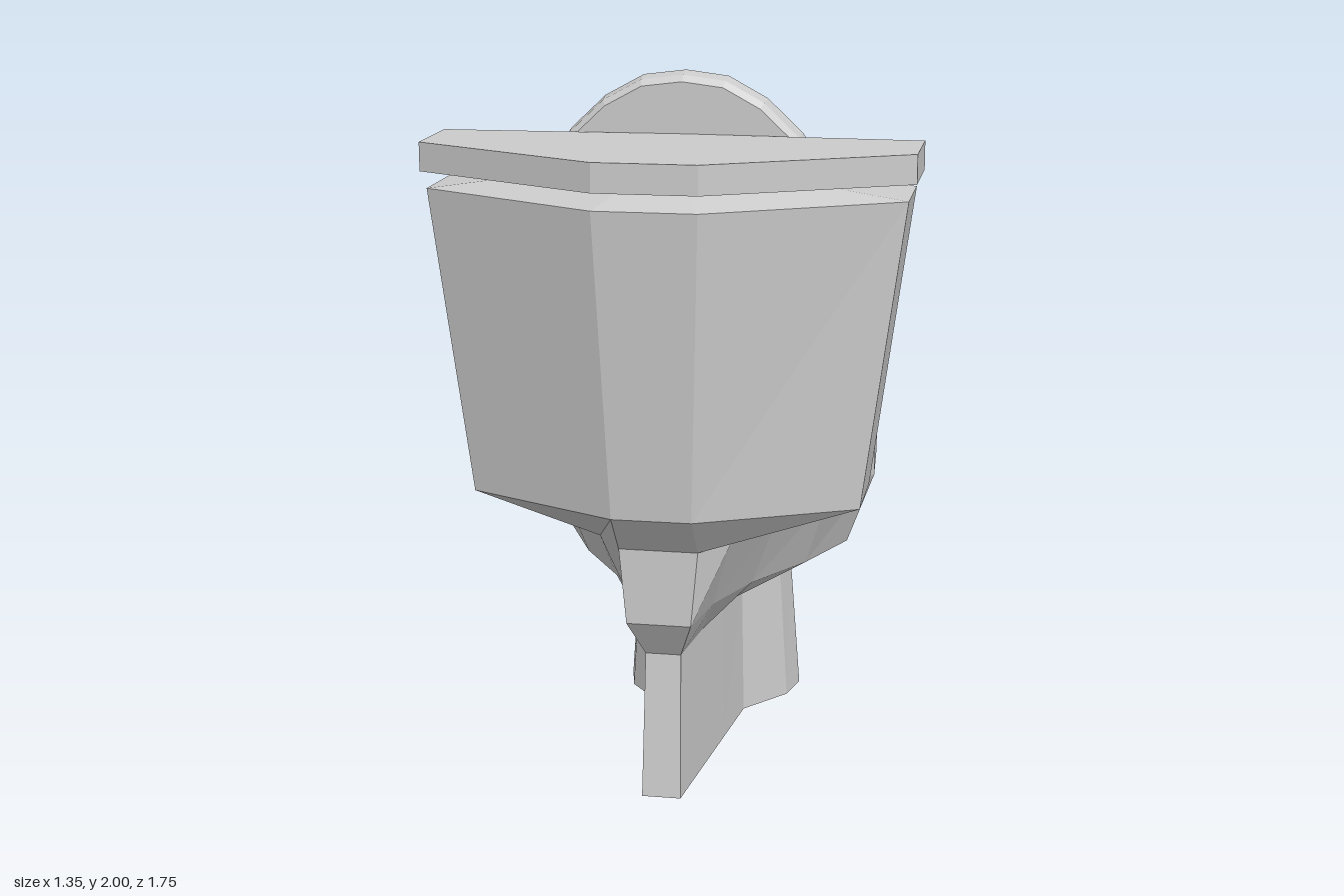
import * as THREE from 'three';
import { mergeGeometries } from 'three/addons/utils/BufferGeometryUtils.js';

const grey = new THREE.MeshStandardMaterial({ color: 0xcccccc, flatShading: true });
const maroon = new THREE.MeshStandardMaterial({ color: 0x56303f, flatShading: true });

// Full outline from the +x half, listed from the centre line at -z to the back at +z
function mirror(half) {
  const other = half.filter(([x]) => x > 0).reverse().map(([x, z]) => [-x, z]);
  return [...half, ...other];
}

const scaleRing = (half, s, cz) => half.map(([x, z]) => [x * s, cz + (z - cz) * s]);

// Flat horizontal polygon, facing up or down, with an optional hole
function cap(half, y, up, hole) {
  const s = up ? -1 : 1;
  const points = (h) => mirror(h).map(([x, z]) => new THREE.Vector2(x, s * z));
  const shape = new THREE.Shape(points(half));
  if (hole) shape.holes.push(new THREE.Path(points(hole)));
  const g = new THREE.ShapeGeometry(shape).rotateX(s * Math.PI / 2).translate(0, y, 0).toNonIndexed();
  g.deleteAttribute('uv');
  return g;
}

// Walls between stacked outlines: rings = [[y, half], ...]
function walls(rings) {
  const pos = [];
  for (let r = 0; r < rings.length - 1; r++) {
    const [y0, h0] = rings[r], [y1, h1] = rings[r + 1];
    const lo = mirror(h0), hi = mirror(h1), n = lo.length;
    for (let i = 0; i < n; i++) {
      const j = (i + 1) % n;
      const a = [lo[i][0], y0, lo[i][1]], b = [lo[j][0], y0, lo[j][1]];
      const c = [hi[i][0], y1, hi[i][1]], d = [hi[j][0], y1, hi[j][1]];
      pos.push(...a, ...c, ...b, ...b, ...c, ...d);
    }
  }
  const g = new THREE.BufferGeometry();
  g.setAttribute('position', new THREE.Float32BufferAttribute(pos, 3));
  g.computeVertexNormals();
  return g;
}

function solid(rings) {
  const first = rings[0], last = rings[rings.length - 1];
  return mergeGeometries([walls(rings), cap(first[1], first[0], false), cap(last[1], last[0], true)]);
}

export function createModel() {
  const model = new THREE.Group();
  model.name = 'toilet';
  const add = (name, geometry, material = grey) => {
    const mesh = new THREE.Mesh(geometry, material);
    mesh.name = name;
    model.add(mesh);
    return mesh;
  };

  // Pedestal: round column with a tapering stalk behind it
  const foot = [[0, -0.555], [0.12, -0.53], [0.22, -0.44], [0.27, -0.28], [0.245, -0.165],
    [0.13, -0.02], [0.105, 0.21], [0.08, 0.44], [0.055, 0.67]];
  const neck = [[0, -0.515], [0.11, -0.49], [0.2, -0.41], [0.24, -0.27], [0.22, -0.165],
    [0.12, -0.04], [0.1, 0.18], [0.075, 0.41], [0.05, 0.63]];
  add('pedestal', mergeGeometries([walls([[0, foot], [0.415, neck]]), cap(foot, 0, false)]));

  // Bowl: flares to the rim at the front and to the tank shelf at the back
  const belly = [[0, -0.76], [0.17, -0.72], [0.32, -0.58], [0.41, -0.38], [0.43, -0.14],
    [0.33, 0.09], [0.2, 0.3], [0.12, 0.5], [0.09, 0.7]];
  const bowlFront = [[0, -0.875], [0.21, -0.82], [0.39, -0.65], [0.49, -0.42], [0.51, -0.14]];
  const band = [...bowlFront, [0.4, 0.14], [0.28, 0.35], [0.185, 0.59], [0.11, 0.7]];
  const rim = [...bowlFront, [0.45, 0.13], [0.53, 0.33], [0.54, 0.595], [0.11, 0.8]];
  const hole = [[0, -0.73], [0.13, -0.695], [0.225, -0.605], [0.29, -0.45], [0.315, -0.13],
    [0.23, 0.08], [0.07, 0.135]];
  const pool = [[0, -0.61], [0.1, -0.585], [0.18, -0.5], [0.235, -0.39], [0.26, -0.13],
    [0.2, 0.035], [0.05, 0.09]];
  add('bowl', mergeGeometries([
    walls([[0.415, neck], [0.525, belly], [0.74, band], [0.855, rim]]),
    cap(rim, 0.855, true, hole),
    walls([[0.855, hole], [0.62, pool]]),
  ]));
  add('water', cap(pool, 0.62, true), maroon);

  // Tank: widens upward, with a shallow raised top under the cover
  const tankBottom = [[0, 0.325], [0.54, 0.34], [0.54, 0.595], [0.11, 0.8]];
  const tankTop = [[0, 0.318], [0.655, 0.335], [0.655, 0.595], [0.14, 0.875]];
  add('tank', solid([[0.855, tankBottom], [1.705, tankTop], [1.752, scaleRing(tankTop, 0.5, 0.55)]]));
  const cover = [[0, 0.315], [0.675, 0.335], [0.675, 0.59], [0.14, 0.87]];
  add('tankCover', solid([[1.75, cover], [1.83, cover]]));

  // Flush handle
  add('flushHandle', new THREE.BoxGeometry(0.13, 0.065, 0.04).translate(0.52, 1.572, 0.325), maroon);

  // Raised seat lid: lofted flat, then stood upright
  const lid = [[0, -2], [0.12, -1.985], [0.23, -1.925], [0.33, -1.83], [0.42, -1.68], [0.475, -1.5],
    [0.495, -1.3], [0.46, -1.1], [0.38, -0.94], [0.28, -0.855]];
  const lidRings = [[0.175, 0.95], [0.195, 0.98], [0.245, 1], [0.295, 0.985], [0.315, 0.955]];
  add('seatLid', solid(lidRings.map(([z, s]) => [z, scaleRing(lid, s, -1.42)])).rotateX(Math.PI / 2));

  return model;
}
